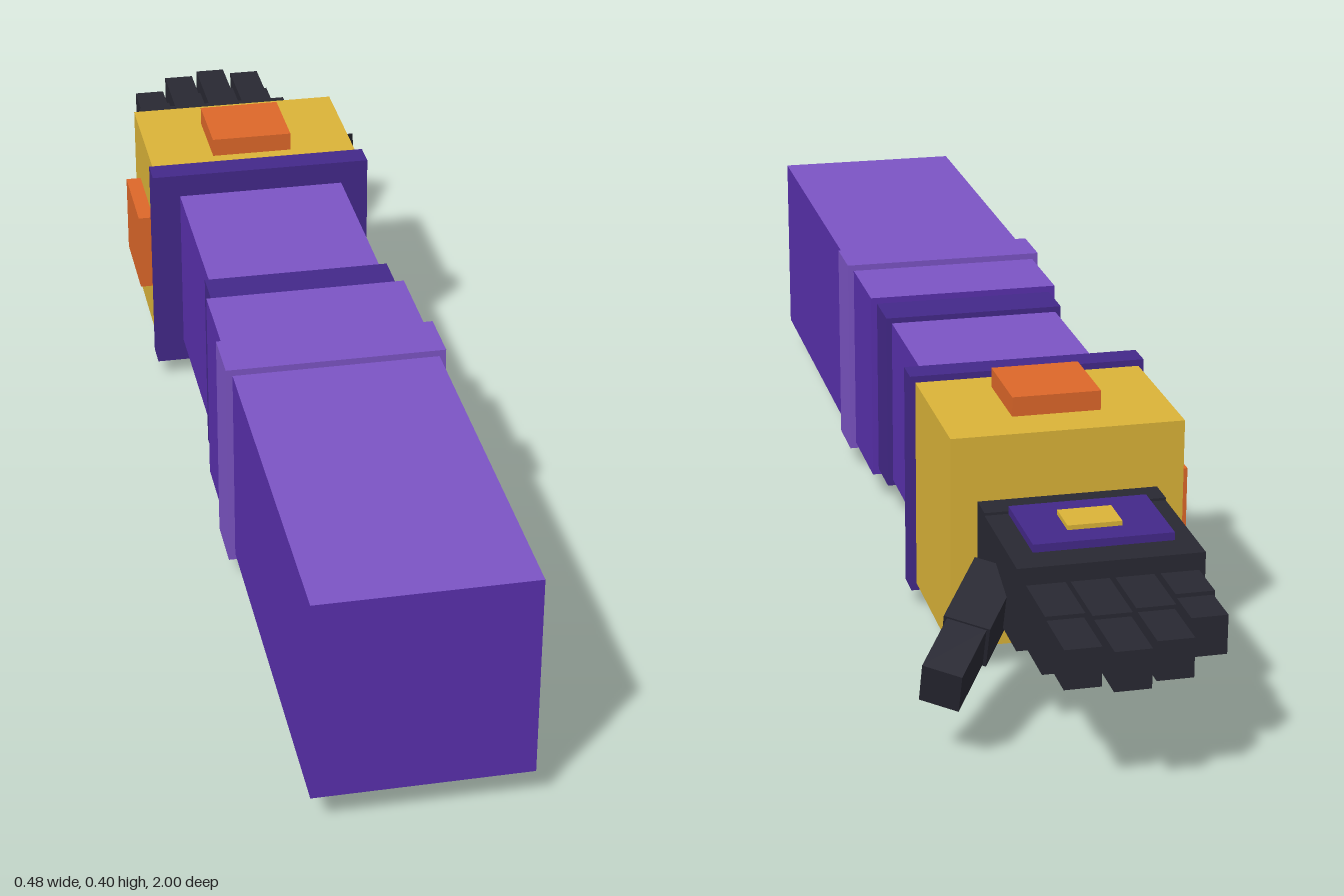
import * as THREE from 'three';

const mat = (name, color) => {
  const m = new THREE.MeshStandardMaterial({ color });
  m.name = name;
  return m;
};

export function createModel() {
  const purple = mat('purple', 0x5930ad);
  const lilac = mat('lilac', 0x7b54c4);
  const violet = mat('dark violet', 0x432889);
  const gold = mat('gold', 0xdab338);
  const orange = mat('orange', 0xdd6729);
  const black = mat('charcoal', 0x282832);

  const model = new THREE.Group();
  model.name = 'arm';

  // box given by its extents on each axis
  const box = (name, material, [x0, x1], [y0, y1], [z0, z1], parent = model) => {
    const mesh = new THREE.Mesh(new THREE.BoxGeometry(x1 - x0, y1 - y0, z1 - z0), material);
    mesh.position.set((x0 + x1) / 2, (y0 + y1) / 2, (z0 + z1) / 2);
    mesh.name = name;
    parent.add(mesh);
    return mesh;
  };
  // section of the sleeve, centred on the arm's axis
  const sleeve = (name, material, half, z0, z1, halfY = half) =>
    box(name, material, [-0.04 - half, -0.04 + half], [0.204 - halfY, 0.204 + halfY], [z0, z1]);

  // sleeve: purple sides with a lilac top face and a dark underside
  const cloth = [purple, purple, lilac, violet, purple, purple];
  sleeve('upperArm', cloth, 0.157, 0.15, 1);
  sleeve('upperArmBand', lilac, 0.167, 0.305, 0.395);
  sleeve('elbowBand', violet, 0.147, 0.07, 0.15);
  sleeve('forearm', cloth, 0.138, -0.25, 0.07);
  sleeve('cuffRim', violet, 0.183, -0.295, -0.25, 0.176);

  // bracer with its gems and lower clasp
  box('bracer', gold, [-0.215, 0.135], [0.04, 0.37], [-0.54, -0.295]);
  box('topGem', orange, [-0.107, 0.027], [0.36, 0.4], [-0.47, -0.337]);
  box('sideGem', orange, [-0.24, -0.21], [0.138, 0.27], [-0.48, -0.323]);
  box('clasp', black, [-0.085, 0.005], [0, 0.055], [-0.575, -0.47]);

  // hand
  const hand = new THREE.Group();
  hand.name = 'hand';
  model.add(hand);
  box('wrist', black, [-0.175, 0.095], [0.14, 0.27], [-0.585, -0.53], hand);
  box('palm', black, [-0.175, 0.095], [0.142, 0.266], [-0.78, -0.585], hand);
  box('backPlate', violet, [-0.145, 0.06], [0.26, 0.278], [-0.73, -0.585], hand);
  box('badge', gold, [-0.08, 0], [0.275, 0.285], [-0.69, -0.63], hand);

  // fingers: x centre and tip z, each a knuckle segment and a thinner tip
  [[-0.138, -0.92], [-0.073, -0.98], [-0.009, -1], [0.054, -0.98]].forEach(([x, tip], i) => {
    const mid = -0.77 + (tip + 0.77) * 0.55;
    box(`finger${i + 1}Base`, black, [x - 0.028, x + 0.028], [0.17, 0.24], [mid, -0.77], hand);
    box(`finger${i + 1}Tip`, black, [x - 0.026, x + 0.026], [0.176, 0.234], [tip, mid], hand);
  });

  // thumb, splayed outward and down
  const thumb = new THREE.Group();
  thumb.name = 'thumb';
  thumb.position.set(0.093, 0.188, -0.645);
  thumb.rotation.set(-0.35, -0.55, 0);
  box('thumbBase', black, [-0.034, 0.034], [-0.036, 0.036], [-0.13, 0], thumb);
  box('thumbTip', black, [-0.029, 0.029], [-0.033, 0.033], [-0.23, -0.13], thumb);
  hand.add(thumb);

  return model;
}
